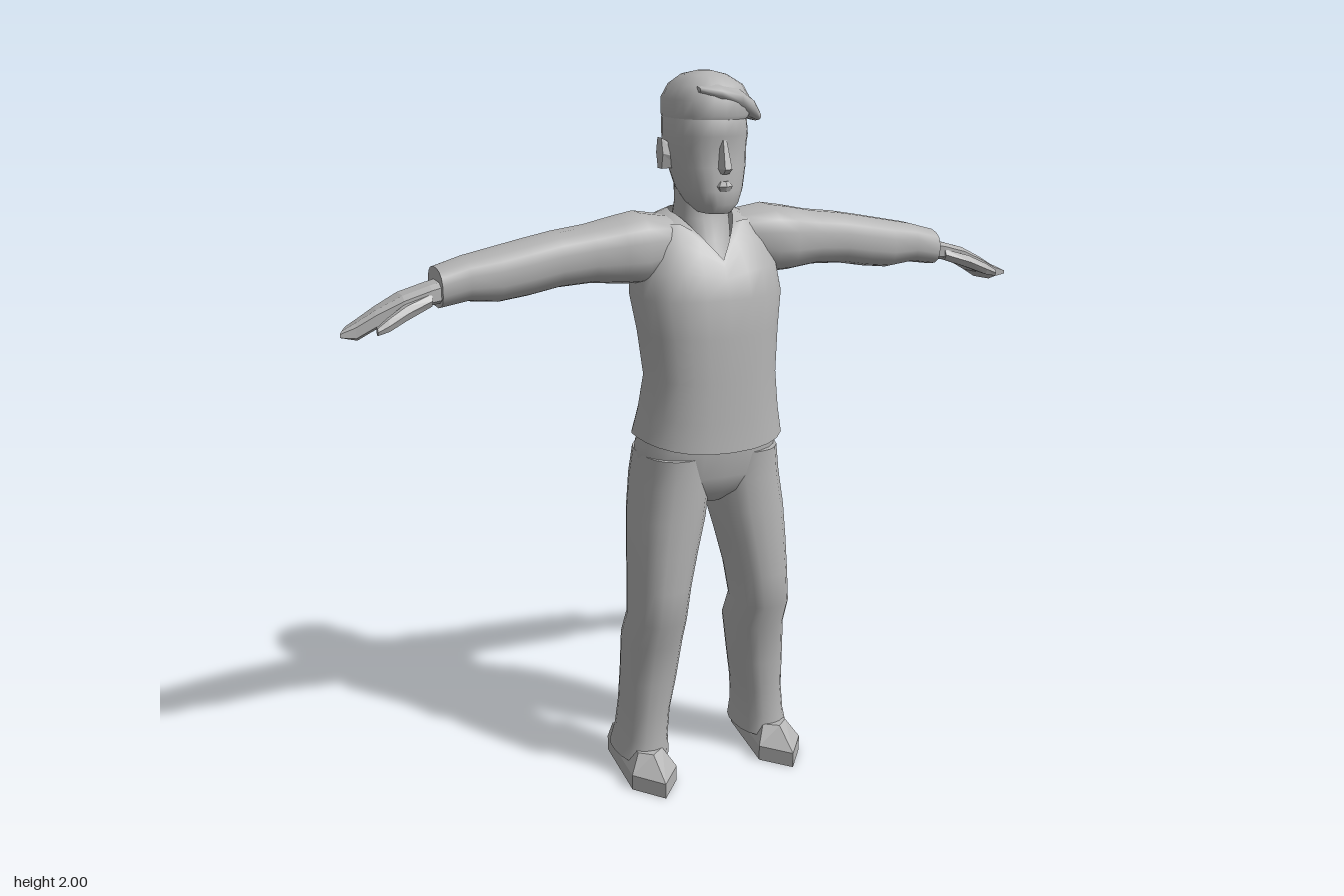
import * as THREE from 'three';

const gray = new THREE.MeshStandardMaterial({ color: 0xb4b4b4, side: THREE.DoubleSide });
gray.name = 'plain gray';

// Power curve that squares an ellipse off as p shrinks below 1
const pw = (v, p) => Math.sign(v) * Math.pow(Math.abs(v), p);

// Horizontal ring; dip lowers front and back, vee lowers a V at the front and vPush moves it forward
function level(y, cx, rx, zf, zb, { n = 24, p = 0.85, dip = 0, vee = 0, vPush = 0, slope = 0 } = {}) {
  return Array.from({ length: n }, (_, i) => {
    const a = (i / n) * Math.PI * 2, c = pw(Math.cos(a), p), s = pw(Math.sin(a), p);
    const x = cx + rx * c;
    const w = s > 0 ? Math.max(0, 1 - Math.abs(x) / 0.09) : 0;
    const z = (zf + zb) / 2 + ((zf - zb) / 2) * s + vPush * w;
    return [x, y - dip * s * s - vee * w - slope * x, z];
  });
}

// Upright ring across the x axis; shear moves x with z
function across(x, yt, yb, zf, zb, { n = 16, p = 0.8, shear = 0 } = {}) {
  return Array.from({ length: n }, (_, i) => {
    const a = ((i + 0.5) / n) * Math.PI * 2;
    const z = (zf + zb) / 2 - ((zf - zb) / 2) * pw(Math.sin(a), p);
    return [x + shear * z, (yt + yb) / 2 + ((yt - yb) / 2) * pw(Math.cos(a), p), z];
  });
}

// Skin joining the rings, with separate end caps so their edges stay crisp
function loft(rings, { flat = false, start = true, end = true } = {}) {
  const n = rings[0].length, pos = rings.flat(2), idx = [];
  for (let r = 0; r < rings.length - 1; r++) {
    for (let i = 0; i < n; i++) {
      const a = r * n + i, b = r * n + ((i + 1) % n);
      idx.push(a, a + n, b, b, a + n, b + n);
    }
  }
  const cap = (ring, top) => {
    const o = pos.length / 3;
    pos.push(...ring.flat());
    pos.push(...[0, 1, 2].map((k) => ring.reduce((t, q) => t + q[k], 0) / n));
    for (let i = 0; i < n; i++) {
      const a = o + i, b = o + ((i + 1) % n);
      idx.push(o + n, ...(top ? [b, a] : [a, b]));
    }
  };
  if (start) cap(rings[0], false);
  if (end) cap(rings[rings.length - 1], true);
  let g = new THREE.BufferGeometry();
  g.setAttribute('position', new THREE.Float32BufferAttribute(pos, 3));
  g.setIndex(idx);
  if (flat) g = g.toNonIndexed();
  g.computeVertexNormals();
  return g;
}

export function createModel() {
  const model = new THREE.Group();
  model.name = 'standingMan';
  const add = (name, geo) => {
    const m = new THREE.Mesh(geo, gray);
    m.name = name;
    model.add(m);
  };
  // Left part plus its mirror image
  const pair = (name, makeRings, opt) => {
    const rings = makeRings();
    add('left' + name, loft(rings, opt));
    const mirrored = rings.map((r) => r.map(([x, y, z]) => [-x, y, z]).reverse());
    add('right' + name, loft(mirrored, opt));
  };

  // Sweater body with pointed hem and V neck
  add('sweater', loft([
    level(1.03, 0, 0.21, 0.17, -0.17, { dip: 0.025 }),
    level(1.1, 0, 0.196, 0.165, -0.145, { dip: 0.01 }),
    level(1.2, 0, 0.184, 0.162, -0.12),
    level(1.32, 0, 0.195, 0.157, -0.14),
    level(1.42, 0, 0.21, 0.15, -0.16),
    level(1.49, 0, 0.203, 0.128, -0.168, { vee: 0.02 }),
    level(1.56, 0, 0.19, 0.082, -0.165, { vee: 0.06, vPush: 0.037 }),
    level(1.61, 0, 0.165, 0.045, -0.15, { vee: 0.1, vPush: 0.067 }),
    level(1.64, 0, 0.085, 0.025, -0.12, { vee: 0.12, vPush: 0.083 }),
  ], { end: false }));

  // Neck and the shirt front filling the V
  add('neck', loft([
    level(1.48, 0, 0.07, 0.09, -0.1),
    level(1.56, 0, 0.072, 0.055, -0.11),
    level(1.62, 0, 0.074, 0.035, -0.112),
    level(1.66, 0, 0.07, 0.03, -0.1),
    level(1.73, 0, 0.072, 0.03, -0.1),
  ]));

  // Sleeves
  pair('Sleeve', () => [
    [0.1, 1.625, 1.48, 0.04, -0.14], [0.19, 1.642, 1.455, 0.078, -0.137],
    [0.25, 1.632, 1.457, 0.07, -0.127], [0.33, 1.615, 1.465, 0.055, -0.12],
    [0.42, 1.603, 1.46, 0.05, -0.125], [0.5, 1.588, 1.445, 0.045, -0.125],
    [0.58, 1.572, 1.435, 0.04, -0.123], [0.66, 1.556, 1.443, 0.03, -0.117],
    [0.735, 1.535, 1.432, 0.03, -0.112],
  ].map((r) => across(...r)));

  // Hands with fingers together, and thumbs
  const hand = { n: 8, p: 0.6 };
  pair('Hand', () => [
    across(0.7, 1.51, 1.45, 0.01, -0.08, hand),
    across(0.76, 1.498, 1.445, 0.02, -0.075, hand),
    across(0.83, 1.478, 1.425, 0.02, -0.078, hand),
    across(0.9, 1.445, 1.395, 0.01, -0.088, { ...hand, shear: 0.2 }),
    across(0.95, 1.418, 1.37, 0.003, -0.092, { ...hand, shear: 0.3 }),
    across(0.99, 1.398, 1.382, 0, -0.092, { ...hand, shear: 0.4 }),
  ], { flat: true });
  pair('Thumb', () => [
    across(0.76, 1.48, 1.445, 0.025, -0.02, { n: 6 }),
    across(0.83, 1.46, 1.42, 0.047, 0.008, { n: 6 }),
    across(0.88, 1.435, 1.4, 0.062, 0.032, { n: 6 }),
    across(0.91, 1.415, 1.395, 0.065, 0.045, { n: 6 }),
  ], { flat: true });

  // Trousers: seat and two legs
  add('trouserSeat', loft([
    level(0.83, 0, 0.04, 0.05, -0.07),
    level(0.87, 0, 0.13, 0.1, -0.12),
    level(0.92, 0, 0.205, 0.118, -0.15),
    level(1.0, 0, 0.2, 0.13, -0.152),
    level(1.06, 0, 0.18, 0.13, -0.12),
  ]));
  pair('TrouserLeg', () => [
    [0.06, 0.195, 0.077, 0.06, -0.165], [0.12, 0.19, 0.068, 0.055, -0.15],
    [0.2, 0.183, 0.067, 0.055, -0.14], [0.3, 0.173, 0.075, 0.065, -0.13],
    [0.42, 0.163, 0.081, 0.08, -0.13], [0.5, 0.162, 0.078, 0.115, -0.092],
    [0.6, 0.152, 0.083, 0.12, -0.105], [0.7, 0.138, 0.093, 0.12, -0.122],
    [0.8, 0.122, 0.103, 0.12, -0.14], [0.9, 0.108, 0.103, 0.118, -0.155],
    [0.98, 0.105, 0.095, 0.12, -0.145],
  ].map((r) => level(...r, { n: 20 })));

  // Shoes, turned slightly outward
  const sole = [[0.272, 0.08], [0.205, 0.167], [0.135, 0.085], [0.165, -0.167], [0.25, -0.167]];
  const instep = [[0.24, 0.05], [0.205, 0.08], [0.165, 0.05], [0.172, -0.15], [0.24, -0.15]];
  pair('Shoe', () => [
    sole.map(([x, z]) => [x, 0, z]),
    sole.map(([x, z]) => [x, 0.045, z]),
    instep.map(([x, z]) => [x, 0.095, z]),
  ], { flat: true });

  // Head from chin to crown
  add('head', loft([
    [1.64, 0, 0.04, 0.1, -0.02], [1.665, 0, 0.064, 0.117, -0.06],
    [1.7, 0, 0.082, 0.116, -0.088], [1.76, 0, 0.097, 0.112, -0.115],
    [1.81, 0, 0.104, 0.105, -0.132], [1.84, 0, 0.105, 0.116, -0.14],
    [1.88, 0, 0.103, 0.112, -0.142], [1.94, 0, 0.085, 0.09, -0.12],
  ].map((r) => level(...r))));

  // Nose, lips and ears
  add('nose', loft([
    level(1.745, 0, 0.014, 0.125, 0.08, { n: 6 }),
    level(1.758, 0, 0.018, 0.14, 0.08, { n: 6 }),
    level(1.83, 0, 0.009, 0.116, 0.08, { n: 6 }),
  ], { flat: true }));
  add('lips', loft([
    level(1.7, 0, 0.018, 0.12, 0.08, { n: 8 }),
    level(1.713, 0, 0.026, 0.126, 0.08, { n: 8 }),
    level(1.726, 0, 0.015, 0.12, 0.08, { n: 8 }),
  ], { flat: true }));
  pair('Ear', () => [
    across(0.08, 1.81, 1.75, 0, -0.04, { n: 6 }),
    across(0.12, 1.835, 1.745, -0.01, -0.055, { n: 6 }),
  ], { flat: true });

  // Soft cap, with a fold drooping over the left side
  add('cap', loft([
    [1.875, 0, 0.1, 0.108, -0.14], [1.89, 0.003, 0.108, 0.116, -0.146],
    [1.93, 0.004, 0.108, 0.117, -0.147], [1.965, 0.004, 0.09, 0.095, -0.125],
    [1.99, 0, 0.055, 0.05, -0.08], [2.0, 0, 0.015, 0.005, -0.03],
  ].map((r) => level(...r))));
  add('capFold', loft([
    across(-0.06, 1.965, 1.948, 0.095, 0.0),
    across(-0.01, 1.972, 1.922, 0.12, -0.04),
    across(0.05, 1.965, 1.9, 0.118, -0.08),
    across(0.1, 1.935, 1.878, 0.092, -0.08),
    across(0.136, 1.897, 1.868, 0.05, -0.045),
  ]));

  return model;
}
